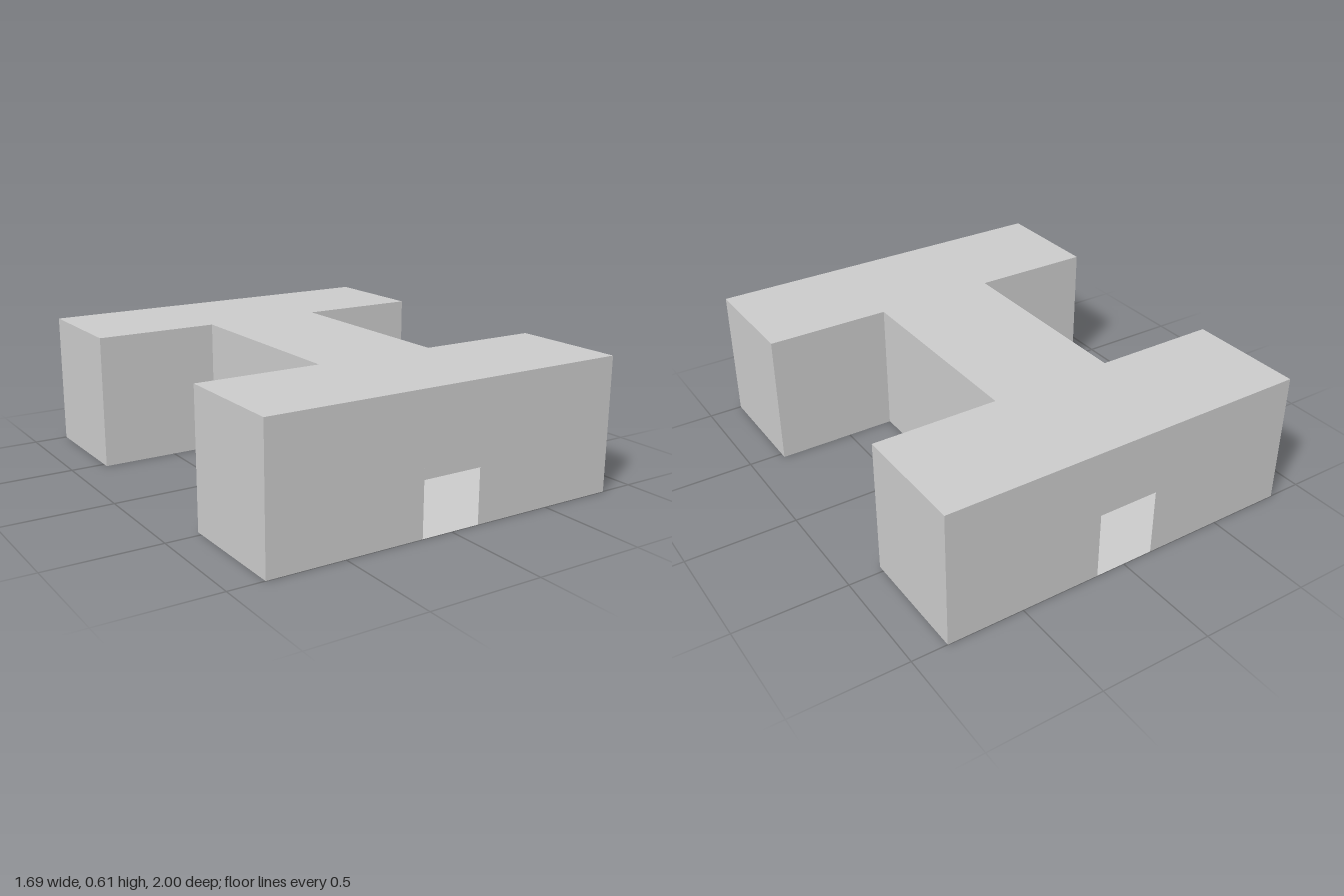
import * as THREE from 'three';

const HEIGHT = 0.605;
const DOOR = { left: -0.142, right: 0.136, top: 0.305 };

// H-shaped plan as [x, z], starting with the front wall
const half = [[0.843, 1], [0.843, 0.47], [0.28, 0.47], [0.28, -0.47], [0.843, -0.47], [0.843, -1]];
const PLAN = [...half, ...half.map(([x, z]) => [-x, -z])];

const material = new THREE.MeshStandardMaterial({ color: 0xcccccc, side: THREE.DoubleSide });

function addMesh(group, name, geometry) {
  const mesh = new THREE.Mesh(geometry, material);
  mesh.name = name;
  group.add(mesh);
  return mesh;
}

const shapeFrom = (points) => new THREE.Shape(points.map(([x, y]) => new THREE.Vector2(x, y)));

// Upright wall between two plan corners, facing outwards; end walls get a doorway
function addWall(group, [ax, az], [bx, bz]) {
  const length = Math.hypot(bx - ax, bz - az);
  const isEnd = az === bz && Math.abs(az) === 1;
  const points = [[0, 0]];
  if (isEnd) {
    const [l, r] = [DOOR.left, DOOR.right].map((x) => Math.abs(x - ax)).sort((p, q) => p - q);
    points.push([l, 0], [l, DOOR.top], [r, DOOR.top], [r, 0]);
  }
  points.push([length, 0], [length, HEIGHT], [0, HEIGHT]);
  const name = isEnd ? (az > 0 ? 'frontDoorWall' : 'backDoorWall') : 'wall';
  const wall = addMesh(group, name, new THREE.ShapeGeometry(shapeFrom(points)));
  wall.position.set(ax, 0, az);
  wall.rotation.y = Math.atan2(az - bz, bx - ax);
}

export function createModel() {
  const group = new THREE.Group();
  group.name = 'hollowHBuilding';

  // Outer walls around a hollow interior
  PLAN.forEach((corner, i) => addWall(group, PLAN.at(i - 1), corner));

  // Flat roof and floor
  const roof = addMesh(group, 'roof', new THREE.ShapeGeometry(shapeFrom(PLAN.map(([x, z]) => [x, -z]))));
  roof.rotation.x = -Math.PI / 2;
  roof.position.y = HEIGHT;
  const floor = addMesh(group, 'floor', new THREE.ShapeGeometry(shapeFrom(PLAN)));
  floor.rotation.x = Math.PI / 2;

  return group;
}
